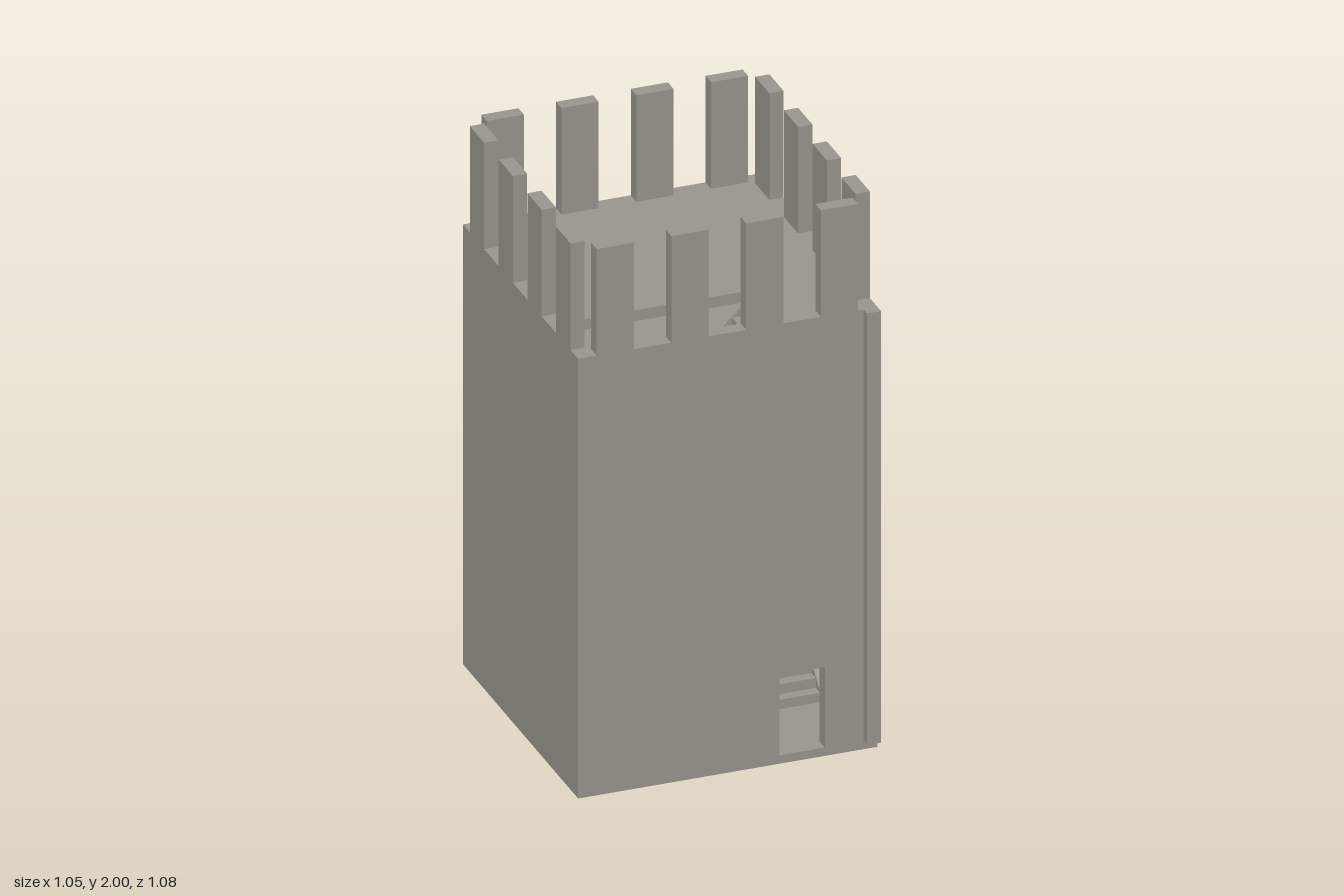
import * as THREE from 'three';

const stone = new THREE.MeshStandardMaterial({ color: 0x9c978f, flatShading: true });

const H = 0.525;      // half width of the tower
const IN = 0.475;     // inner face of the walls
const BASE = 0.03;    // ground floor level
const TOP = 1.61;     // wall top and roof deck level
const CZ = -0.017;    // centre of the square plan
const STOREYS = 4;
const RISE = (TOP - BASE) / STOREYS;

function mesh(name, geometry, parent) {
  const m = new THREE.Mesh(geometry, stone);
  m.name = name;
  parent.add(m);
  return m;
}

// Box given by its limits
function block(name, parent, x0, x1, y0, y1, z0, z1) {
  const m = mesh(name, new THREE.BoxGeometry(x1 - x0, y1 - y0, z1 - z0), parent);
  m.position.set((x0 + x1) / 2, (y0 + y1) / 2, (z0 + z1) / 2);
  return m;
}

function outline(points) {
  return new THREE.Shape(points.map(([x, y]) => new THREE.Vector2(x, y)));
}

// Upright wall panel with rectangular openings [u0, u1, v0, v1]
function panel(u0, u1, thickness, openings) {
  const rect = (a, b, c, d) => [[a, c], [b, c], [b, d], [a, d]];
  const shape = outline(rect(u0, u1, BASE, TOP));
  for (const o of openings) {
    shape.holes.push(new THREE.Path(rect(...o).reverse().map(([x, y]) => new THREE.Vector2(x, y))));
  }
  return new THREE.ExtrudeGeometry(shape, { depth: thickness, bevelEnabled: false });
}

// One storey: stair along the front wall climbing to +x, and the deck above it
function createStorey() {
  const g = new THREE.Group();
  const x0 = -0.21, x1 = 0.21, z0 = 0.262, z1 = 0.472, side = 0.027;

  // Deck with an L-shaped outline around the stairwell
  const deck = new THREE.ExtrudeGeometry(
    outline([[-IN, -z0], [x1, -z0], [x1, -IN], [IN, -IN], [IN, IN], [-IN, IN]]),
    { depth: 0.04, bevelEnabled: false });
  deck.rotateX(-Math.PI / 2);
  mesh('floorDeck', deck, g).position.y = RISE - 0.04;

  // Steps
  const count = 11, run = 0.0394, rise = RISE / count;
  for (let i = 0; i < count; i++) {
    const bottom = Math.max(0, (i - 1) * rise);
    block('stairStep', g, x0 + i * run, Math.min(x1, x0 + (i + 1) * run),
      bottom, (i + 1) * rise - 0.002, z0 + side, z1 - side);
  }

  // Sloping stringers on both sides of the steps
  const stringer = outline([
    [x0, 0], [x0 + 0.08, 0], [x1, RISE - 0.08], [x1, RISE - 0.002],
    [x1 - 0.03, RISE - 0.002], [x0, 0.036],
  ]);
  for (const z of [z0, z1 - side]) {
    const s = new THREE.ExtrudeGeometry(stringer, { depth: side, bevelEnabled: false });
    mesh('stairStringer', s, g).position.z = z;
  }
  return g;
}

export function createModel() {
  const tower = new THREE.Group();
  tower.name = 'tower';

  // Base slab
  block('baseSlab', tower, -H, H, 0, BASE, CZ - H, CZ + H);

  // Walls: doorway in the front, two slit windows in the left side (+x)
  mesh('frontWall', panel(-H, IN, 0.05, [[0.18, 0.34, BASE + 0.0005, 0.325]]), tower)
    .position.z = CZ + IN;
  const slits = panel(-0.54, 0.54, 0.05, [[-0.263, -0.238, 0.175, 0.33], [0.134, 0.159, 0.175, 0.33]]);
  slits.rotateY(Math.PI / 2);
  mesh('leftWall', slits, tower).position.x = IN;
  block('rightWall', tower, -H, -IN, BASE, TOP, CZ - IN, CZ + IN);
  block('backWall', tower, -H, IN, BASE, TOP, CZ - H, CZ - IN);

  // Storeys, each turned a quarter so the stairs wind up around the inside
  for (let k = 0; k < STOREYS; k++) {
    const storey = createStorey();
    storey.name = 'storey' + (k + 1);
    storey.position.set(0, BASE + k * RISE, CZ);
    storey.rotation.y = (k + 1) * Math.PI / 2;
    tower.add(storey);
  }

  // Battlements: four merlons on every wall
  const battlements = new THREE.Group();
  battlements.name = 'battlements';
  for (let i = 0; i < 4; i++) {
    const x = -0.46 + i * 0.262;
    const z = -0.478 + i * 0.262;
    for (const s of [-1, 1]) {
      const a = s < 0 ? -H : IN, b = s < 0 ? -IN : H;
      block('merlon', battlements, x, x + 0.13, TOP, 2, CZ + a, CZ + b);
      block('merlon', battlements, a, b, TOP, 2, z, z + 0.13);
    }
  }
  tower.add(battlements);
  return tower;
}
